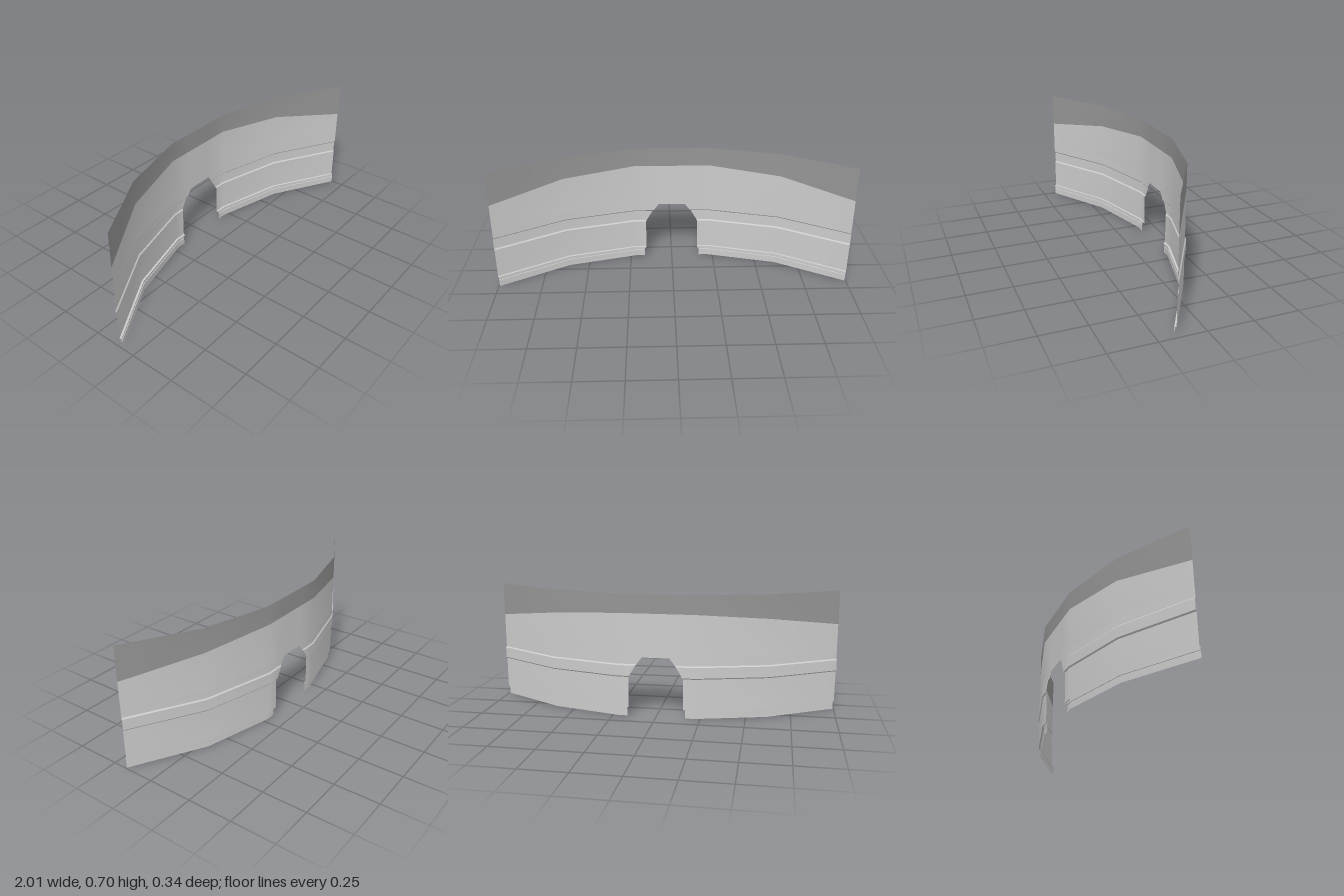
import * as THREE from 'three';

// Plan of the curved wall for x >= 0: [x, z]
const PLAN = [[0, -0.163], [0.22, -0.163], [0.62, -0.057], [1, 0.162]];

function planZ(x) {
  const a = Math.abs(x);
  let i = 0;
  while (i < PLAN.length - 2 && a > PLAN[i + 1][0]) i++;
  const [x0, z0] = PLAN[i], [x1, z1] = PLAN[i + 1];
  return z0 + (z1 - z0) * (a - x0) / (x1 - x0);
}

// Point on the wall, pushed out along the plan normal (+ = concave front side)
function wallPoint(x, y, offset) {
  const slope = (planZ(x + 0.001) - planZ(x - 0.001)) / 0.002;
  const len = Math.hypot(slope, 1);
  return [x - slope / len * offset, y, planZ(x) + offset / len];
}

// Surface between two rows of points; smooth along the row
function strip(low, high, material, name) {
  const n = low.length, index = [];
  for (let i = 0; i < n - 1; i++) index.push(i, i + 1, n + i + 1, i, n + i + 1, n + i);
  const geometry = new THREE.BufferGeometry();
  geometry.setAttribute('position', new THREE.Float32BufferAttribute([...low, ...high].flat(), 3));
  geometry.setIndex(index);
  geometry.computeVertexNormals();
  const mesh = new THREE.Mesh(geometry, material);
  mesh.name = name;
  return mesh;
}

// Stack of strips on both sides of the doorway; rows are [y, offset, inner x]
function sideWalls(rows, material, name) {
  const group = new THREE.Group();
  group.name = name;
  for (const side of [-1, 1]) {
    const line = ([y, offset, inner]) => {
      const xs = [inner, 0.22, 0.62, 1].map((x) => x * side);
      if (side < 0) xs.reverse();
      return xs.map((x) => wallPoint(x, y, offset));
    };
    for (let i = 0; i < rows.length - 1; i++) {
      group.add(strip(line(rows[i]), line(rows[i + 1]), material, name + 'Strip'));
    }
  }
  return group;
}

export function createModel() {
  const model = new THREE.Group();
  model.name = 'curvedWall';
  const grey = new THREE.MeshStandardMaterial({ color: 0xcccccc, side: THREE.DoubleSide });
  const dark = new THREE.MeshStandardMaterial({ color: 0x959595, side: THREE.DoubleSide });

  // Wall beside the doorway, with the recessed band and chamfered door corners
  model.add(sideWalls([
    [0.05, 0, 0.155], [0.23, 0, 0.155], [0.237, -0.006, 0.15],
    [0.298, -0.006, 0.115], [0.305, 0, 0.108], [0.345, 0, 0.078],
  ], grey, 'lowerWall'));

  // Skirting with a groove and a small lip
  model.add(sideWalls([
    [0, 0.011, 0.165], [0.038, 0.011, 0.165], [0.039, 0.008, 0.165], [0.05, 0.008, 0.165],
    [0.05, 0.011, 0.157], [0.059, 0.011, 0.157], [0.06, 0, 0.157],
  ], grey, 'skirting'));

  // Wall above the doorway, split by a slanting line into a light and a dark part
  const columns = [-1, -0.62, -0.22, -0.078, 0.078, 0.22, 0.62, 1];
  const row = (height) => columns.map((x) => wallPoint(x, height(x), 0));
  const split = row((x) => 0.5495 - 0.2615 * planZ(x));
  model.add(strip(row(() => 0.345), split, grey, 'upperWall'));
  model.add(strip(split, row(() => 0.7), dark, 'topBand'));

  return model;
}
